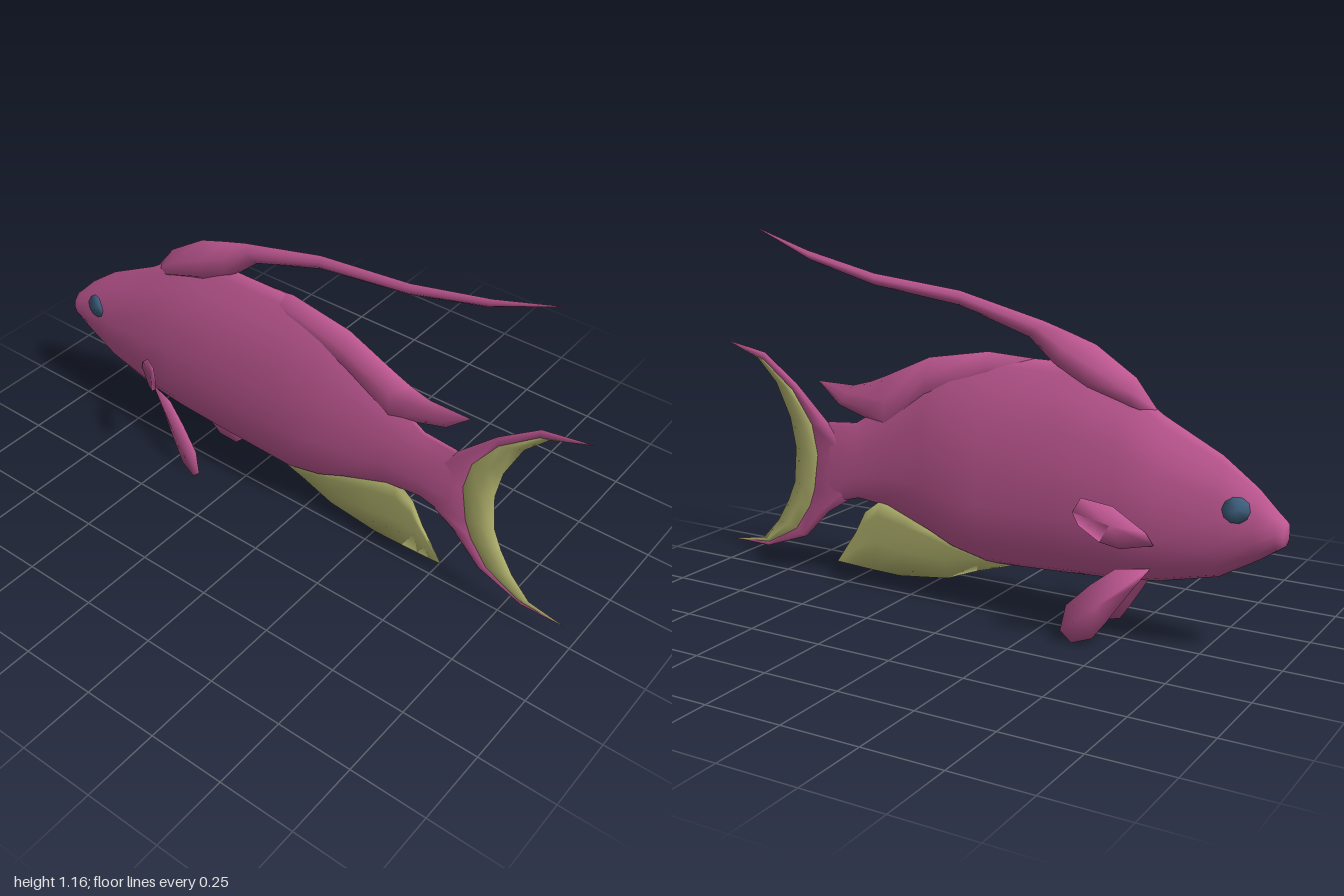
import * as THREE from 'three';

const mat = (name, color, side = THREE.FrontSide) => {
  const m = new THREE.MeshStandardMaterial({ color, side });
  m.name = name;
  return m;
};

function build(pos, idx) {
  const g = new THREE.BufferGeometry();
  g.setAttribute('position', new THREE.Float32BufferAttribute(pos, 3));
  g.setIndex(idx);
  g.computeVertexNormals();
  return g;
}

// Skin over sections [ax, ay, bx, by, halfWidth]; profile [t, w] runs from edge b to edge a.
function loft(sections, profile) {
  const back = profile.filter(p => p[1] > 0).reverse().map(([t, w]) => [t, -w]);
  const ring = [...profile, ...back], n = ring.length, pos = [], idx = [];
  for (const [ax, ay, bx, by, h] of sections)
    for (const [t, w] of ring) pos.push(bx + (ax - bx) * t, by + (ay - by) * t, w * h);
  for (let i = 0; i < sections.length - 1; i++)
    for (let j = 0; j < n; j++) {
      const a = i * n + j, d = i * n + (j + 1) % n, b = a + n, c = d + n;
      idx.push(a, b, c, a, c, d);
    }
  return build(pos, idx);
}

// Thin leaf: counter-clockwise outline, depth rule, outer and inner centre offsets.
function leaf(outline, zOf, outer, inner) {
  const n = outline.length, pos = [], idx = [];
  let cx = 0, cy = 0;
  for (const [x, y] of outline) {
    pos.push(x, y, zOf(x, y));
    cx += x / n;
    cy += y / n;
  }
  const cz = zOf(cx, cy);
  pos.push(cx, cy, cz + outer, cx, cy, cz + inner);
  for (let i = 0; i < n; i++) {
    const k = (i + 1) % n;
    idx.push(i, k, n, k, i, n + 1);
  }
  return build(pos, idx);
}

const BODY_PROFILE = [[0, 0], [0.03, 0.35], [0.12, 0.7], [0.3, 1], [0.5, 0.98],
  [0.7, 0.87], [0.85, 0.52], [0.95, 0.2], [1, 0]];
const FIN_PROFILE = [[0, 0], [0.25, 0.9], [0.6, 0.8], [1, 0]];

// x, top, bottom, half width
const BODY = [
  [-1, 0.435, 0.395, 0], [-0.992, 0.445, 0.37, 0.026], [-0.97, 0.465, 0.355, 0.037],
  [-0.91, 0.525, 0.315, 0.046], [-0.8, 0.607, 0.25, 0.06], [-0.62, 0.7, 0.205, 0.08],
  [-0.5, 0.78, 0.19, 0.087], [-0.3, 0.825, 0.178, 0.09], [-0.04, 0.825, 0.165, 0.084],
  [0.08, 0.8, 0.19, 0.071], [0.17, 0.765, 0.23, 0.06], [0.33, 0.63, 0.29, 0.034],
  [0.45, 0.555, 0.302, 0.022], [0.56, 0.545, 0.27, 0.014], [0.61, 0.52, 0.3, 0],
];

// Interpolates a table of [key, value...] rows.
function sample(table, x, col) {
  const i = Math.max(1, table.findIndex(r => r[0] >= x));
  const a = table[i - 1], b = table[i];
  return a[col] + (b[col] - a[col]) * (x - a[0]) / (b[0] - a[0]);
}
function bodyHalf(x, y) {
  const top = sample(BODY, x, 1), bottom = sample(BODY, x, 2);
  return sample(BODY, x, 3) * sample(BODY_PROFILE, (y - bottom) / (top - bottom), 1);
}

export function createModel() {
  const pink = mat('pink', 0xc05893);
  const olive = mat('olive', 0xb4b56f);
  const blue = mat('slateBlue', 0x3f607f, THREE.DoubleSide);
  const fish = new THREE.Group();
  fish.name = 'fish';
  const add = (name, geometry, material) => {
    const m = new THREE.Mesh(geometry, material);
    m.name = name;
    fish.add(m);
    return m;
  };

  add('body', loft(BODY.map(([x, t, b, h]) => [x, t, x, b, h]), BODY_PROFILE), pink);

  // Long trailing filament of the front dorsal fin
  add('dorsalFilament', loft([
    [-0.6, 0.71, -0.6, 0.68, 0], [-0.53, 0.8, -0.52, 0.7, 0.035],
    [-0.4, 0.885, -0.38, 0.74, 0.042], [-0.31, 0.915, -0.28, 0.8, 0.03],
    [-0.23, 0.94, -0.18, 0.888, 0.016], [0.06, 1.01, 0.06, 0.965, 0.012],
    [0.37, 1.042, 0.37, 1.005, 0.01], [0.63, 1.1, 0.62, 1.07, 0.007],
    [0.855, 1.17, 0.855, 1.17, 0],
  ], FIN_PROFILE), pink);

  // Rear dorsal fin
  add('rearDorsalFin', loft([
    [-0.2, 0.825, -0.2, 0.75, 0], [-0.04, 0.832, -0.05, 0.72, 0.03],
    [0.17, 0.795, 0.17, 0.65, 0.035], [0.33, 0.722, 0.33, 0.53, 0.025],
    [0.39, 0.697, 0.41, 0.572, 0.014], [0.46, 0.677, 0.52, 0.607, 0.008],
    [0.6, 0.678, 0.6, 0.678, 0],
  ], FIN_PROFILE), pink);

  // Anal fin
  add('analFin', loft([
    [-0.12, 0.18, -0.12, 0.166, 0], [-0.02, 0.19, 0, 0.128, 0.025],
    [0.12, 0.235, 0.11, 0.085, 0.026], [0.25, 0.28, 0.29, 0.062, 0.022],
    [0.36, 0.305, 0.39, 0.064, 0.017], [0.42, 0.26, 0.45, 0.066, 0.012],
    [0.46, 0.185, 0.49, 0.068, 0.008], [0.54, 0.07, 0.54, 0.07, 0],
  ], [[0, 0], [0.4, 0.35], [0.8, 0.8], [1, 0.6]]), olive);

  // Forked tail: rear edge, colour boundary, front edge, half width
  const tail = [
    [0.985, 0.78, 0.985, 0.78, 0.985, 0.78, 0],
    [0.85, 0.73, 0.82, 0.727, 0.82, 0.752, 0.006],
    [0.775, 0.655, 0.7, 0.637, 0.69, 0.66, 0.009],
    [0.72, 0.54, 0.622, 0.53, 0.57, 0.546, 0.012],
    [0.7, 0.44, 0.6, 0.43, 0.42, 0.43, 0.014],
    [0.71, 0.32, 0.618, 0.31, 0.47, 0.302, 0.013],
    [0.74, 0.25, 0.64, 0.25, 0.57, 0.237, 0.011],
    [0.785, 0.175, 0.7, 0.162, 0.665, 0.138, 0.009],
    [0.85, 0.105, 0.82, 0.095, 0.83, 0.078, 0.006],
    [0.98, 0.08, 0.98, 0.08, 0.98, 0.08, 0],
  ];
  add('tailBase', loft(tail.map(s => [s[2], s[3], s[4], s[5], s[6]]),
    [[0, 0], [0.3, 0.9], [1, 1]]), pink);
  add('tailEdge', loft(tail.map(s => [s[0], s[1], s[2], s[3], s[6]]),
    [[0, 1], [0.5, 0.65], [1, 0]]), olive);

  // Paired fins and eyes
  const pectoral = leaf([[-0.63, 0.335], [-0.55, 0.328], [-0.5, 0.35], [-0.45, 0.4],
    [-0.435, 0.44], [-0.455, 0.482], [-0.53, 0.455], [-0.61, 0.375]],
    x => 0.078 + (x + 0.63) * 0.68, -0.008, -0.02);
  const pelvic = leaf([[-0.61, 0.255], [-0.57, 0.2], [-0.49, 0.08], [-0.45, 0.025],
    [-0.39, 0.005], [-0.355, 0.04], [-0.37, 0.12], [-0.44, 0.19], [-0.51, 0.245]],
    (x, y) => 0.052 + (x + 0.61) * 0.23 + (0.255 - y) * 0.04, 0.016, -0.014);
  const rim = [];
  for (let i = 0; i < 10; i++) {
    const a = i / 10 * Math.PI * 2;
    rim.push([-0.86 + 0.04 * Math.cos(a), 0.467 + 0.037 * Math.sin(a)]);
  }
  const eye = leaf(rim, (x, y) => bodyHalf(x, y) + 0.003, 0.001, -0.002);
  for (const [side, sign] of [['left', 1], ['right', -1]]) {
    add(side + 'PectoralFin', pectoral, pink).scale.z = sign;
    add(side + 'PelvicFin', pelvic, pink).scale.z = sign;
    add(side + 'Eye', eye, blue).scale.z = sign;
  }
  return fish;
}
